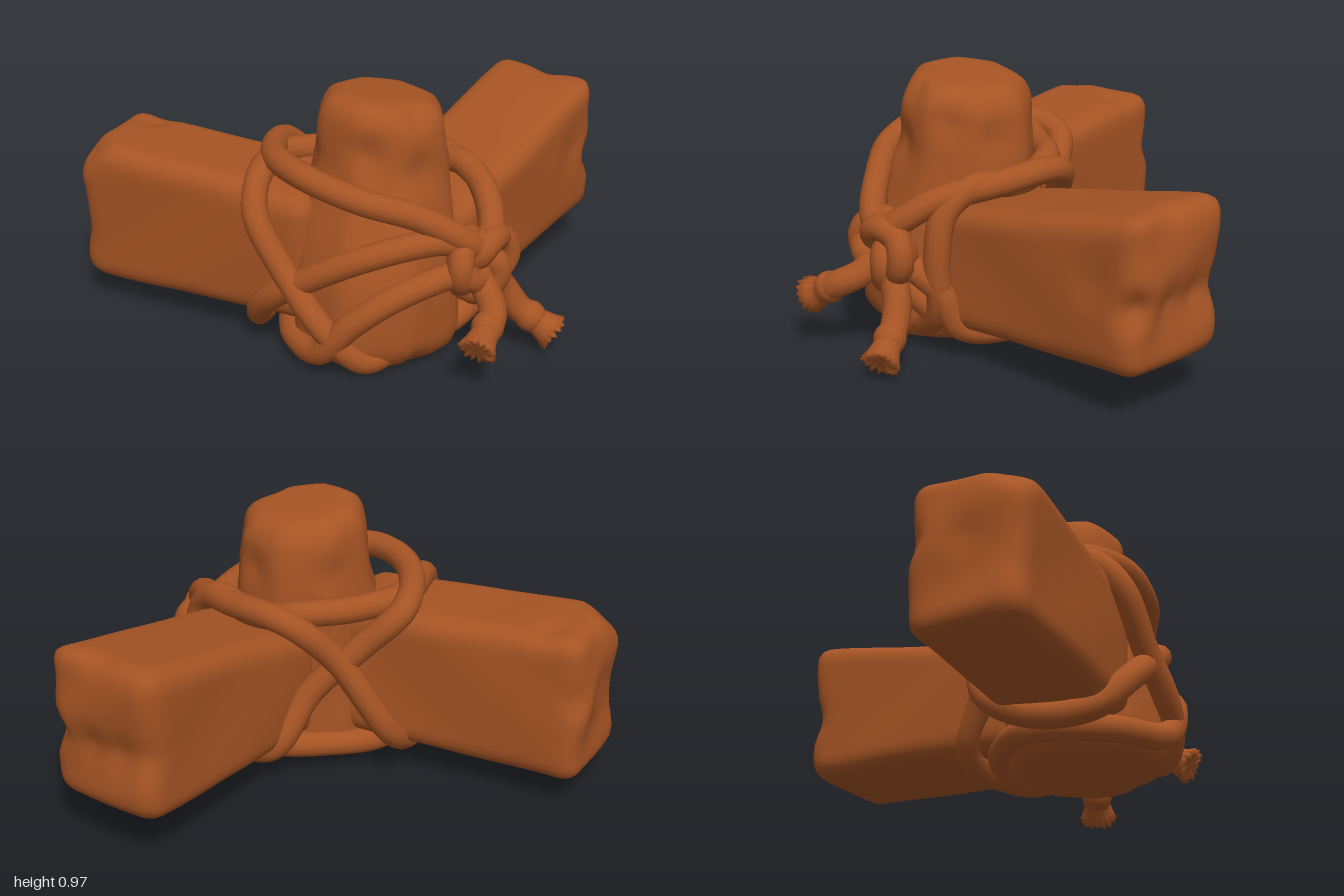
import * as THREE from 'three';
import { mergeVertices } from 'three/addons/utils/BufferGeometryUtils.js';

const V = (x, y, z) => new THREE.Vector3(x, y, z);
const wood = new THREE.MeshStandardMaterial({ color: 0xa65424 });
wood.name = 'brown wood';
const ROPE = 0.048;

function addMesh(parent, geometry, name) {
  const mesh = new THREE.Mesh(geometry, wood);
  mesh.name = name;
  parent.add(mesh);
  return mesh;
}

// Moves every vertex by a rule and gives the result smooth normals
function warp(geometry, rule) {
  geometry.deleteAttribute('uv');
  geometry.deleteAttribute('normal');
  const g = mergeVertices(geometry, 1e-4);
  const pos = g.attributes.position;
  const p = V(0, 0, 0);
  for (let i = 0; i < pos.count; i++) {
    p.fromBufferAttribute(pos, i);
    rule(p);
    pos.setXYZ(i, p.x, p.y, p.z);
  }
  g.computeVertexNormals();
  return g;
}

// Soft chips: [x, y, z, reach, depth], each pushing toward a target point
function chip(p, chips, target) {
  for (const [x, y, z, reach, depth] of chips) {
    const d = p.distanceTo(V(x, y, z)) / reach;
    if (d < 1) p.addScaledVector(target(p).sub(p).normalize(), depth * (1 - d) ** 1.3);
  }
}

// Rounded rough beam; its local +x runs outward along dir
function beam(name, end, dir, width, inner, outer, chips) {
  const L = 0.97, r = 0.075;
  const geo = warp(new THREE.BoxGeometry(L, 1, width, 36, 20, 18), (p) => {
    const t = p.x / L + 0.5;
    const low = THREE.MathUtils.lerp(inner[0], outer[0], t);
    const high = THREE.MathUtils.lerp(inner[1], outer[1], t);
    const h = (high - low) / 2;
    p.y *= 2 * h;
    const core = V(
      THREE.MathUtils.clamp(p.x, -L / 2 + r, L / 2 - r),
      THREE.MathUtils.clamp(p.y, -h + r, h - r),
      THREE.MathUtils.clamp(p.z, -width / 2 + r, width / 2 - r));
    p.sub(core).normalize().multiplyScalar(r).add(core);
    p.y += 0.004 * Math.sin(p.x * 9 + p.z * 7) * Math.cos(p.y * 8 - p.x * 4);
    p.z += 0.004 * Math.sin(p.x * 8 + p.y * 11);
    p.x += t * 0.01 * Math.sin(p.y * 17 + p.z * 9);
    chip(p, chips, (q) => V(Math.min(q.x, 0.3), 0, 0));
    p.y += (low + high) / 2;
  });
  geo.translate(-L / 2, 0, 0);
  const mesh = addMesh(new THREE.Group(), geo, name);
  mesh.position.set(end[0], 0, end[1]);
  mesh.rotation.y = Math.atan2(-dir[1], dir[0]);
  return mesh;
}

// Upright post: a bulging lathe with a soft eight-sided section
function post() {
  const profile = [[0, 0.005], [0.2, 0.008], [0.27, 0.03], [0.305, 0.09], [0.31, 0.18], [0.305, 0.34],
    [0.29, 0.46], [0.268, 0.58], [0.252, 0.67], [0.242, 0.76], [0.234, 0.84], [0.222, 0.89],
    [0.195, 0.93], [0.15, 0.95], [0.08, 0.953], [0, 0.954]];
  const curve = new THREE.CatmullRomCurve3(profile.map(([r, y]) => V(r, y, 0)), false, 'centripetal');
  const pts = curve.getPoints(45).map((p) => new THREE.Vector2(Math.max(p.x, 0), p.y));
  const chips = [[-0.08, 0.8, 0.3, 0.1, 0.03], [0.1, 0.72, 0.32, 0.1, 0.03], [0.25, 0.76, 0.0, 0.1, 0.02],
    [-0.2, 0.74, 0.1, 0.1, 0.02], [0.1, 0.93, 0.28, 0.09, 0.03], [-0.02, 0.75, -0.14, 0.1, 0.02],
    [0.24, 0.82, 0.17, 0.09, 0.02], [0.05, 0.03, 0.42, 0.1, 0.03]];
  return warp(new THREE.LatheGeometry(pts, 48), (p) => {
    const a = Math.atan2(p.z, p.x) + 0.15 + Math.PI * 2;
    const step = Math.PI / 4;
    const facet = Math.cos(step / 2) / Math.cos((a % step) - step / 2);
    const k = (0.3 + 0.7 * facet) * 1.02 + 0.018 * Math.sin(a * 3 + p.y * 6);
    const t = THREE.MathUtils.smoothstep(p.y, 0.25, 0.75);
    p.x = p.x * k - 0.015 + 0.045 * t;
    p.z = p.z * k + 0.165 - 0.072 * t;
    p.y += t * (-0.12 * p.x + 0.05 * p.z);
    chip(p, chips, (q) => V(0, q.y, 0.1));
  });
}

function rope(points, closed, radius = ROPE) {
  const curve = new THREE.CatmullRomCurve3(points.map((p) => V(...p)), closed, 'centripetal');
  return new THREE.TubeGeometry(curve, closed ? 130 : 30, radius, 12, closed);
}

// Flared rope end with a ragged rim and a pleated face
function frayedEnd() {
  const pts = [[0.04, -0.06], [0.05, -0.03], [0.057, 0], [0.068, 0.03], [0.045, 0.032], [0, 0.026]]
    .map(([r, y]) => new THREE.Vector2(r, y));
  return warp(new THREE.LatheGeometry(pts, 32), (p) => {
    const rad = Math.hypot(p.x, p.z);
    const i = Math.round((Math.atan2(p.z, p.x) / (Math.PI * 2)) * 32);
    if (p.y > 0.01 && rad > 0.02) {
      const s = i % 2 === 0 ? 1.06 : 0.95;
      p.x *= s;
      p.z *= s;
      p.y += (i % 2 === 0 ? 0.006 : -0.006) + 0.005 * Math.sin(i * 2.3);
    }
  });
}

function tail(parent, name, points) {
  addMesh(parent, rope(points, false, 0.05), name);
  const tip = V(...points.at(-1));
  const dir = tip.clone().sub(V(...points.at(-2))).normalize();
  const end = addMesh(parent, frayedEnd(), name + 'FrayedEnd');
  end.position.copy(tip);
  end.quaternion.setFromUnitVectors(V(0, 1, 0), dir);
  // Binding bulge just before the frayed end
  const bulge = addMesh(parent, new THREE.SphereGeometry(0.058, 16, 12), name + 'Bulge');
  bulge.position.copy(tip).addScaledVector(dir, -0.07);
}

export function createModel() {
  const model = new THREE.Group();
  model.name = 'lashedFenceCorner';
  addMesh(model, post(), 'post');

  // Two rails meeting at the post
  model.add(beam('leftRail', [0.885, -0.545], [0.757, -0.653], 0.45, [0.11, 0.53], [0.172, 0.735], [
    [0.485, -0.04, 0.22, 0.11, 0.07], [0.485, -0.05, 0.05, 0.11, 0.025], [0.485, -0.06, -0.1, 0.11, 0.03],
    [0.485, -0.05, -0.22, 0.11, 0.03], [0.46, 0.28, 0.02, 0.1, 0.02], [0.3, 0.05, 0.22, 0.13, 0.015]]));
  model.add(beam('rightRail', [-0.88, -0.555], [-0.75, -0.66], 0.415, [0.12, 0.62], [0.1, 0.66], [
    [0.485, 0.06, 0.2, 0.1, 0.03], [0.485, 0.05, 0, 0.11, 0.02], [0.47, 0.27, -0.18, 0.13, 0.06],
    [0.485, -0.1, -0.2, 0.1, 0.015], [0.33, 0.27, 0.12, 0.09, 0.02]]));

  // Lashing: closed turns that cross over and under the rails
  const turns = [
    [[0.27, 0.48, 0.43], [0.08, 0.6, 0.415], [-0.12, 0.665, 0.36], [-0.29, 0.71, 0.2], [-0.34, 0.7, -0.02],
      [-0.24, 0.65, -0.26], [-0.1, 0.52, -0.24], [0.08, 0.34, -0.2], [0.22, 0.14, -0.21], [0.34, 0.1, -0.03],
      [0.39, 0.13, 0.14], [0.4, 0.27, 0.21], [0.36, 0.37, 0.33]],
    [[0.33, 0.48, 0.4], [0.375, 0.59, 0.22], [0.32, 0.63, 0], [0.17, 0.63, -0.22], [0, 0.48, -0.24],
      [-0.2, 0.18, -0.27], [-0.32, 0.085, -0.13], [-0.42, 0.1, 0.04], [-0.42, 0.22, 0.17], [-0.29, 0.36, 0.31],
      [-0.1, 0.47, 0.41], [0.12, 0.51, 0.43]],
    [[0.25, 0.38, 0.43], [0, 0.34, 0.47], [-0.17, 0.23, 0.44], [-0.27, 0.09, 0.36], [-0.32, 0.07, 0.14],
      [-0.22, 0.075, -0.1], [0, 0.09, -0.14], [0.2, 0.09, -0.08], [0.32, 0.1, 0.12], [0.33, 0.22, 0.28]],
    [[0.05, 0.1, 0.36], [-0.12, 0.065, 0.42], [-0.25, 0.18, 0.39], [-0.37, 0.37, 0.25], [-0.445, 0.55, 0.14],
      [-0.41, 0.65, 0.04], [-0.29, 0.655, -0.13], [-0.1, 0.64, -0.18], [0.08, 0.645, -0.19], [0.24, 0.61, -0.08],
      [0.35, 0.63, 0.09], [0.39, 0.55, 0.19], [0.405, 0.38, 0.22], [0.38, 0.2, 0.21], [0.27, 0.1, 0.25]],
  ];
  turns.forEach((points, i) => addMesh(model, rope(points, true), 'ropeTurn' + (i + 1)));

  // Knot with two frayed tails
  const knot = addMesh(model, new THREE.TorusKnotGeometry(0.075, 0.048, 96, 12, 2, 3), 'knot');
  knot.position.set(0.3, 0.4, 0.4);
  knot.rotation.set(0, 0.5, 0.5);
  const bands = [[0.235, 0.41, 0.415, 1.2], [0.36, 0.4, 0.365, 0.3]];
  bands.forEach(([x, y, z, turn], i) => {
    const band = addMesh(model, new THREE.TorusGeometry(0.07, 0.048, 12, 28), 'knotBand' + (i + 1));
    band.position.set(x, y, z);
    band.rotation.set(0, turn, 0.2);
  });
  tail(model, 'frontTail', [[0.28, 0.37, 0.42], [0.31, 0.31, 0.48], [0.305, 0.27, 0.56], [0.235, 0.21, 0.64]]);
  tail(model, 'sideTail', [[0.34, 0.36, 0.39], [0.41, 0.26, 0.36], [0.47, 0.17, 0.37], [0.56, 0.1, 0.41]]);
  return model;
}
